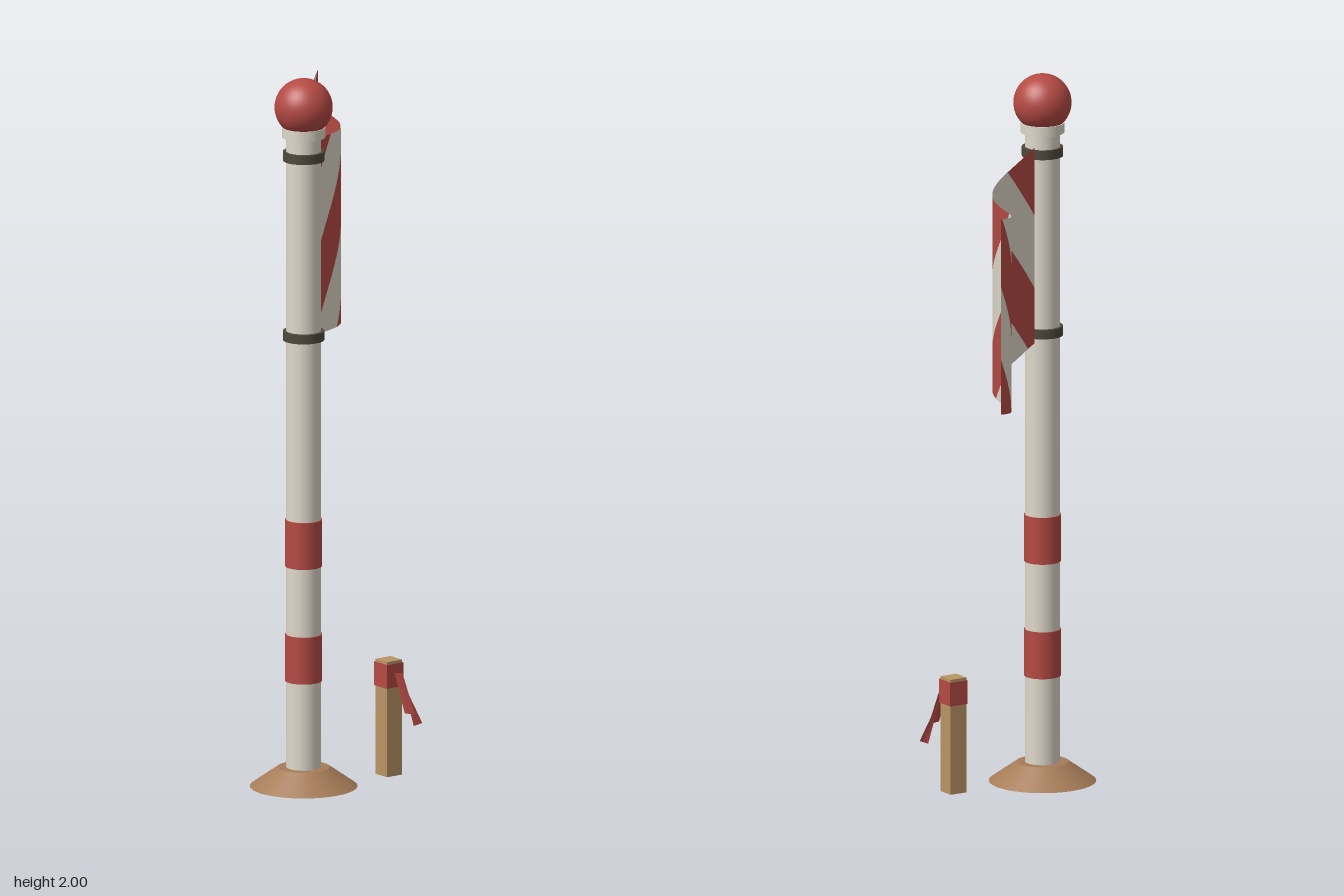
import * as THREE from 'three';

const material = (name, color, side = THREE.FrontSide) => {
  const m = new THREE.MeshStandardMaterial({ color, side });
  m.name = name;
  return m;
};

export function createModel() {
  const model = new THREE.Group();
  model.name = 'stripedFlagpole';

  const cream = material('cream', 0xdfd8ca, THREE.DoubleSide);
  const red = material('red', 0xb54a44, THREE.DoubleSide);
  const iron = material('darkIron', 0x50483d);
  const earth = material('brownEarth', 0xa67c58);
  const wood = material('tanWood', 0xb99563);

  const add = (parent, name, geometry, mat, x = 0, y = 0, z = 0) => {
    const mesh = new THREE.Mesh(geometry, mat);
    mesh.name = name;
    mesh.position.set(x, y, z);
    parent.add(mesh);
    return mesh;
  };

  // Pole with its mound, bands, rings and ball
  const pole = new THREE.Group();
  pole.name = 'pole';
  pole.position.set(-0.215, 0, 0.27);
  model.add(pole);

  const drum = (name, mat, y0, y1, rBottom, rTop = rBottom) =>
    add(pole, name, new THREE.CylinderGeometry(rTop, rBottom, y1 - y0, 40), mat, 0, (y0 + y1) / 2, 0);

  drum('mound', earth, 0.002, 0.056, 0.148, 0.072);
  drum('shaft', cream, 0, 1.84, 0.048);
  drum('lowerBand', red, 0.3, 0.432, 0.051);
  drum('upperBand', red, 0.624, 0.756, 0.051);
  drum('lowerRing', iron, 1.263, 1.289, 0.057);
  drum('upperRing', iron, 1.77, 1.796, 0.057);
  drum('collar', cream, 1.836, 1.864, 0.06);
  add(pole, 'ball', new THREE.SphereGeometry(0.08, 40, 28), red, 0, 1.92, 0);

  // Waving flag: a path across the ground plane, swept upwards
  const start = new THREE.Vector2(-0.168, 0.236);
  const end = new THREE.Vector2(0.357, -0.412);
  const along = end.clone().sub(start);
  const across = new THREE.Vector2(-along.y, along.x).normalize();
  const height = 0.553;
  const flagPath = (s) => {
    const a = Math.PI * s;
    const wave = 0.054 * Math.sin(a) + 0.028 * Math.sin(2 * a) - 0.015 * Math.sin(3 * a);
    return start.clone().addScaledVector(along, s).addScaledVector(across, wave);
  };
  const flagTop = (s) => 1.805 - 0.045 * Math.sin(Math.PI * Math.pow(s, 1.23)) + 0.004 * s;

  // One diagonal stripe: half a period of the phase 2s + 1.35w, w measured down from the top
  const stripeGeometry = (k) => {
    const columns = 120;
    const positions = [], normals = [], index = [];
    const limits = (s) => [0, 0.5].map((h) =>
      THREE.MathUtils.clamp((k / 2 + h - 0.027 - 2 * s) / 1.35, 0, 1));
    for (let i = 0; i <= columns; i++) {
      const s = i / columns;
      const p = flagPath(s);
      const t = flagPath(s + 0.001).sub(flagPath(s - 0.001)).normalize();
      const [w0, w1] = limits(s);
      for (const w of [w0, w1]) {
        positions.push(p.x, flagTop(s) - height * w, p.y);
        normals.push(-t.y, 0, t.x);
      }
      if (i < columns) {
        const [n0, n1] = limits((i + 1) / columns);
        const j = i * 2;
        if (w1 > w0) index.push(j, j + 1, j + 3);
        if (n1 > n0) index.push(j, j + 3, j + 2);
      }
    }
    const g = new THREE.BufferGeometry();
    g.setAttribute('position', new THREE.Float32BufferAttribute(positions, 3));
    g.setAttribute('normal', new THREE.Float32BufferAttribute(normals, 3));
    g.setIndex(index);
    return g;
  };

  const flag = new THREE.Group();
  flag.name = 'flag';
  model.add(flag);
  for (let k = 0; k < 7; k++) {
    add(flag, k % 2 ? 'creamStripe' : 'redStripe', stripeGeometry(k), k % 2 ? cream : red);
  }

  // Marker stake with a red wrap and two ribbon tails
  const stake = new THREE.Group();
  stake.name = 'markerStake';
  model.add(stake);
  add(stake, 'post', new THREE.BoxGeometry(0.052, 0.325, 0.052), wood, 0.057, 0.1625, 0.299);
  add(stake, 'wrap', new THREE.BoxGeometry(0.057, 0.067, 0.057), red, 0.057, 0.284, 0.299);

  const ribbon = (name, corners) => {
    const g = new THREE.BufferGeometry();
    g.setAttribute('position', new THREE.Float32BufferAttribute(corners.flat(), 3));
    g.setIndex([0, 1, 2, 0, 2, 3]);
    g.computeVertexNormals();
    add(stake, name, g, red);
  };
  ribbon('frontRibbon', [
    [0.056, 0.295, 0.326], [0.06, 0.185, 0.367], [0.087, 0.178, 0.378], [0.083, 0.29, 0.326]]);
  ribbon('sideRibbon', [
    [0.083, 0.265, 0.325], [0.114, 0.135, 0.338], [0.134, 0.143, 0.35], [0.083, 0.295, 0.3]]);

  return model;
}
